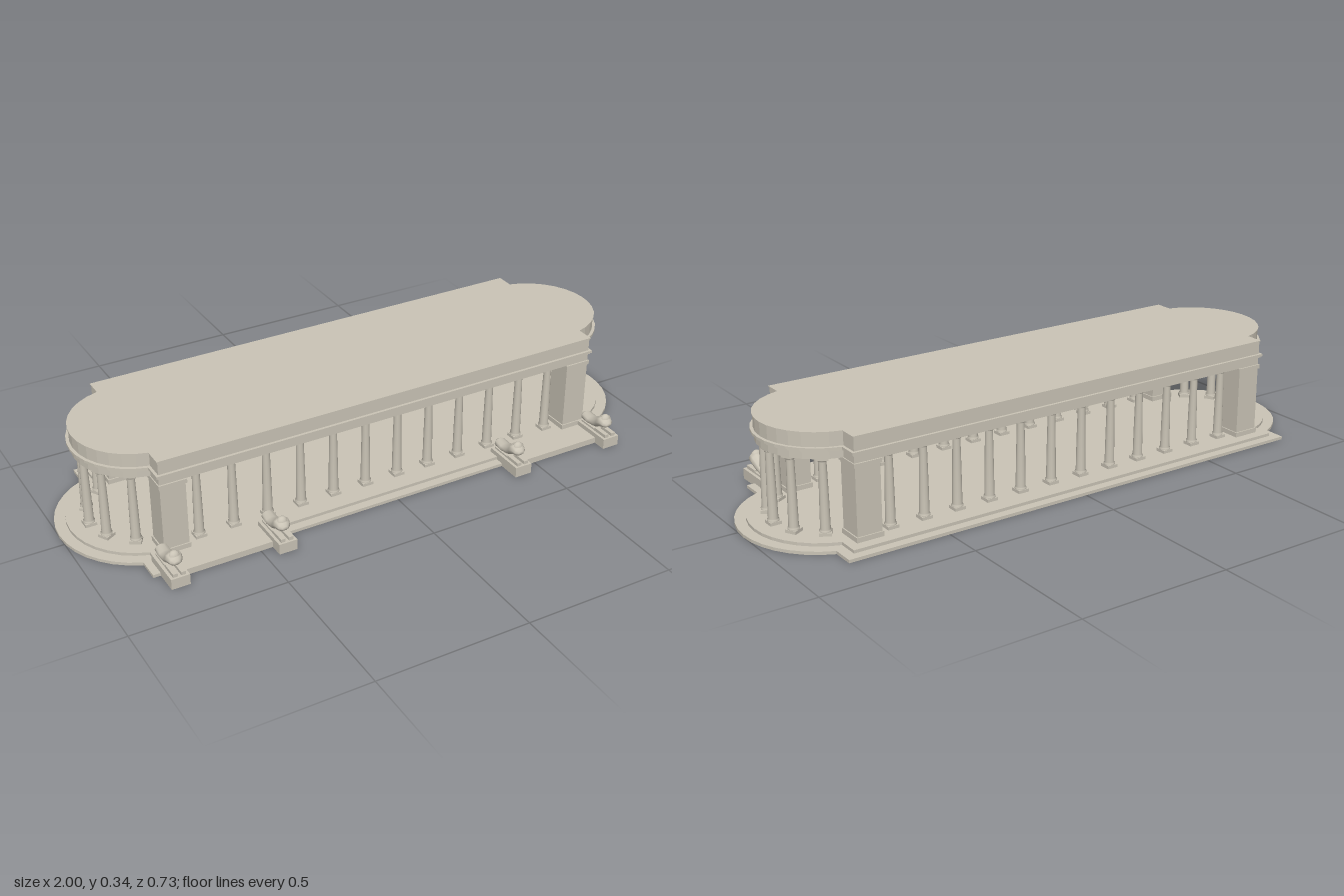
import * as THREE from 'three';

const CZ = -0.039; // centre of the building in z
const ARC_X = 0.725; // centre of the rounded ends

const stone = new THREE.MeshStandardMaterial({ color: 0xcac4b6 });
stone.name = 'pale stone';

export function createModel() {
  const model = new THREE.Group();
  model.name = 'colonnade';

  const add = (parent, geometry, name, x = 0, y = 0, z = 0) => {
    const mesh = new THREE.Mesh(geometry, stone);
    mesh.name = name;
    mesh.position.set(x, y, z);
    parent.add(mesh);
    return mesh;
  };
  const box = (parent, name, w, y0, y1, d, x = 0, z = 0) =>
    add(parent, new THREE.BoxGeometry(w, y1 - y0, d), name, x, (y0 + y1) / 2, z);

  // Slab: a rectangle with a rounded bay at each end
  const slab = (name, y0, y1, halfX, halfZ, r) => {
    const a = Math.acos((halfX - ARC_X) / r), n = 14;
    const points = [];
    for (const s of [1, -1]) {
      points.push(new THREE.Vector2(s * halfX, -s * halfZ));
      for (let i = 0; i <= n; i++) {
        const t = -a + (2 * a * i) / n;
        points.push(new THREE.Vector2(s * (ARC_X + r * Math.cos(t)), s * r * Math.sin(t)));
      }
      points.push(new THREE.Vector2(s * halfX, s * halfZ));
    }
    const g = new THREE.ExtrudeGeometry(new THREE.Shape(points), { depth: y1 - y0, bevelEnabled: false });
    g.rotateX(-Math.PI / 2);
    add(model, g, name, 0, y0, CZ);
  };
  slab('lowerStep', 0, 0.01, 0.834, 0.327, 0.277);
  slab('upperStep', 0.01, 0.02, 0.802, 0.298, 0.242);
  slab('architrave', 0.262, 0.286, 0.769, 0.259, 0.204);
  slab('corniceLower', 0.286, 0.291, 0.774, 0.264, 0.21);
  slab('cornice', 0.291, 0.299, 0.778, 0.269, 0.215);
  slab('parapet', 0.299, 0.342, 0.769, 0.26, 0.205);
  slab('roofLip', 0.342, 0.345, 0.772, 0.263, 0.208);

  // Columns: square base, turned shaft, square cap
  const profile = [
    [0.0185, 0.03], [0.0185, 0.035], [0.0155, 0.038], [0.0145, 0.12],
    [0.012, 0.246], [0.0155, 0.25], [0.0165, 0.254],
  ].map(([r, y]) => new THREE.Vector2(r, y));
  const shaft = new THREE.LatheGeometry(profile, 12);
  const column = (x, z, turn = 0) => {
    const g = new THREE.Group();
    g.name = 'column';
    add(g, shaft, 'shaft');
    box(g, 'columnBase', 0.037, 0.02, 0.03, 0.037);
    box(g, 'columnCap', 0.036, 0.254, 0.262, 0.036);
    g.position.set(x, 0, z);
    g.rotation.y = turn;
    model.add(g);
  };
  for (const s of [1, -1]) {
    for (let i = 0; i < 12; i++) column((i - 5.5) * 0.1157, CZ + s * 0.22);
    for (const deg of [-60, -29, 0, 29, 60]) {
      const t = (deg * Math.PI) / 180;
      column(s * (ARC_X + 0.179 * Math.cos(t)), CZ + 0.179 * Math.sin(t), -s * t);
    }
    // Corner piers
    for (const f of [1, -1]) {
      const x = s * 0.727, z = CZ + f * 0.219;
      box(model, 'pierBase', 0.09, 0.02, 0.036, 0.09, x, z);
      box(model, 'pier', 0.082, 0.036, 0.25, 0.082, x, z);
      box(model, 'pierCap', 0.09, 0.248, 0.262, 0.09, x, z);
    }
    // Entrance landing between the statue plinths
    box(model, 'landing', 0.32, 0, 0.02, 0.1, s * 0.603, 0.272);
  }

  // Reclining statue body: oval sections [z, y, halfHeight, halfWidth]
  const sections = [
    [0.219, 0.055, 0.006, 0.01], [0.229, 0.053, 0.014, 0.021], [0.26, 0.051, 0.0125, 0.023],
    [0.29, 0.058, 0.019, 0.021], [0.311, 0.073, 0.022, 0.026], [0.325, 0.079, 0.022, 0.026],
    [0.341, 0.075, 0.014, 0.02], [0.349, 0.074, 0.006, 0.01],
  ];
  const sides = 10, pos = [], index = [];
  for (const [z, y, h, w] of sections)
    for (let i = 0; i < sides; i++) {
      const t = (2 * Math.PI * i) / sides;
      pos.push(w * Math.cos(t), y + h * Math.sin(t), z);
    }
  for (let k = 0; k < sections.length - 1; k++)
    for (let i = 0; i < sides; i++) {
      const a = k * sides + i, b = k * sides + ((i + 1) % sides);
      index.push(a, b, b + sides, a, b + sides, a + sides);
    }
  const last = (sections.length - 1) * sides;
  for (let i = 1; i < sides - 1; i++) {
    index.push(0, i + 1, i);
    index.push(last, last + i, last + i + 1);
  }
  const body = new THREE.BufferGeometry();
  body.setAttribute('position', new THREE.Float32BufferAttribute(pos, 3));
  body.setIndex(index);
  body.computeVertexNormals();
  const head = new THREE.SphereGeometry(1, 10, 8).scale(0.019, 0.021, 0.015);

  // Four statues on plinths along the front
  for (const x of [-0.78, -0.43, 0.425, 0.778]) {
    const g = new THREE.Group();
    g.name = 'recliningStatue';
    box(g, 'plinth', 0.06, 0, 0.035, 0.145, 0, 0.2945);
    box(g, 'statueSlab', 0.04, 0.035, 0.041, 0.075, 0, 0.268);
    add(g, body, 'body');
    add(g, head, 'head', 0, 0.083, 0.326);
    for (const s of [1, -1]) box(g, 'paw', 0.015, 0.035, 0.046, 0.056, s * 0.013, 0.332);
    g.position.x = x;
    model.add(g);
  }
  return model;
}
